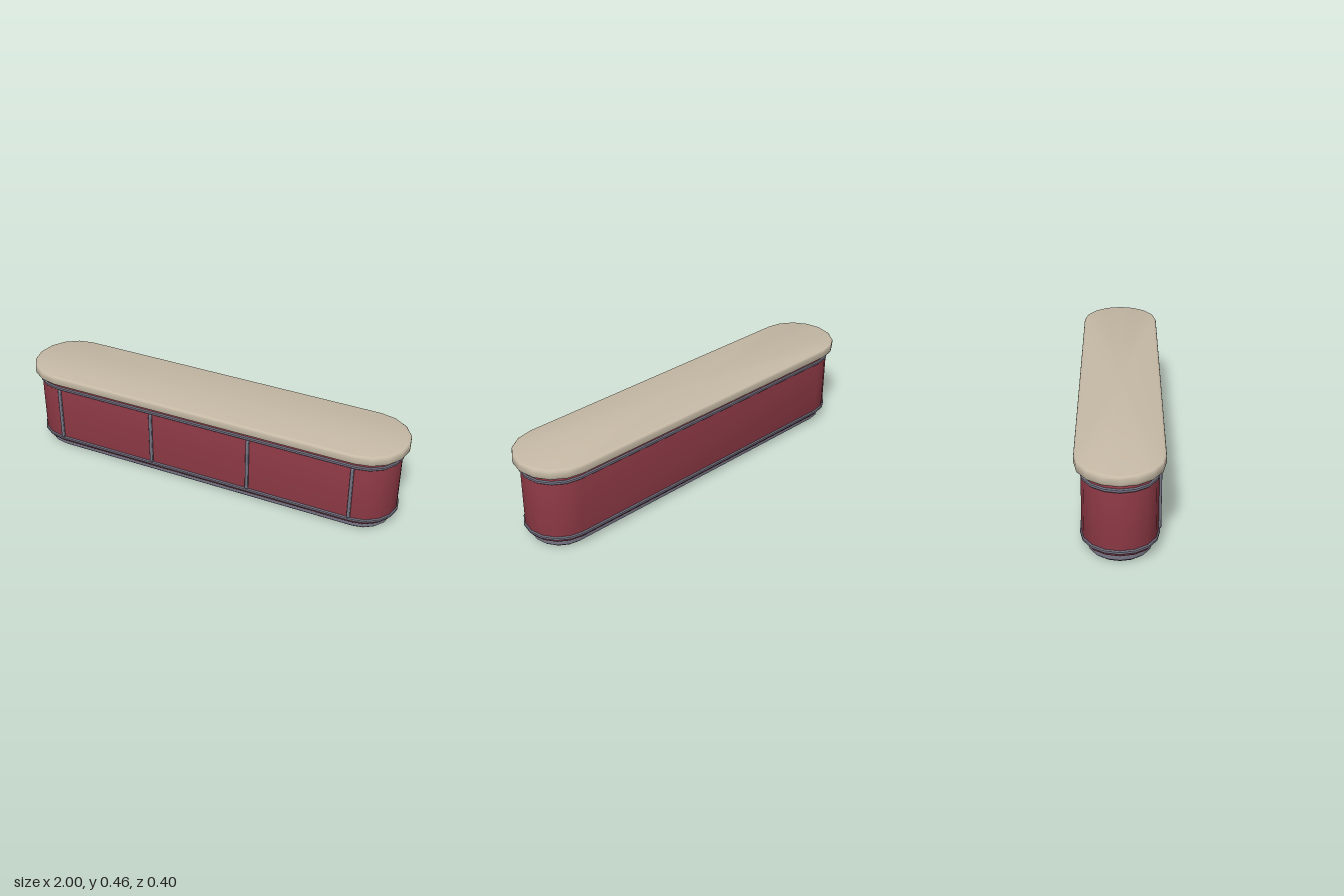
import * as THREE from 'three';
import { toCreasedNormals } from 'three/addons/utils/BufferGeometryUtils.js';
import { RoundedBoxGeometry } from 'three/addons/geometries/RoundedBoxGeometry.js';

const HALF_STRAIGHT = 0.8; // distance from the middle to the centre of each round end
const END_SEGMENTS = 8;

// Solid with a long, round-ended plan; profile lists [radius, y] from bottom to top
function roundEnded(profile, capped = true) {
  const points = [];
  const index = [];
  const n = 2 * (END_SEGMENTS + 1);
  for (const [r, y] of profile) {
    for (const side of [1, -1]) {
      for (let k = 0; k <= END_SEGMENTS; k++) {
        const a = (k / END_SEGMENTS) * Math.PI;
        points.push(side * (HALF_STRAIGHT + r * Math.sin(a)), y, side * r * Math.cos(a));
      }
    }
  }
  for (let i = 0; i < profile.length - 1; i++) {
    for (let j = 0; j < n; j++) {
      const a = i * n + j;
      const b = i * n + ((j + 1) % n);
      index.push(a, b, b + n, a, b + n, a + n);
    }
  }
  if (capped) {
    const last = (profile.length - 1) * n;
    const centre = points.length / 3;
    points.push(0, profile[0][1], 0, 0, profile[profile.length - 1][1], 0);
    for (let j = 0; j < n; j++) {
      const k = (j + 1) % n;
      index.push(centre, k, j, centre + 1, last + j, last + k);
    }
  }
  const geometry = new THREE.BufferGeometry();
  geometry.setAttribute('position', new THREE.Float32BufferAttribute(points, 3));
  geometry.setIndex(index);
  return toCreasedNormals(geometry, 0.7);
}

// Profile of a slab with rounded rims
function slab(radius, y0, y1, bevelOut, bevelUp, steps = 3) {
  const lower = [];
  const upper = [];
  for (let i = 0; i <= steps; i++) {
    const a = (i / steps) * Math.PI / 2;
    const r = radius - bevelOut * (1 - Math.sin(a));
    const d = bevelUp * (1 - Math.cos(a));
    lower.push([r, y0 + d]);
    upper.unshift([r, y1 - d]);
  }
  return [...lower, ...upper];
}

export function createModel() {
  const group = new THREE.Group();
  const red = new THREE.MeshStandardMaterial({ name: 'redPanel', color: 0x8f3a46 });
  const stone = new THREE.MeshStandardMaterial({ name: 'paleStone', color: 0xc6baa6 });
  const metal = new THREE.MeshStandardMaterial({ name: 'greyMetal', color: 0x747282 });

  const add = (name, geometry, material) => {
    const mesh = new THREE.Mesh(geometry, material);
    mesh.name = name;
    group.add(mesh);
    return mesh;
  };

  // Plinth, body and countertop
  add('plinth', roundEnded([[0.13, 0], [0.143, 0.012], [0.143, 0.036], [0.137, 0.043]]), metal);
  add('body', roundEnded(slab(0.17, 0.042, 0.406, 0.018, 0.024)), red);
  add('countertop', roundEnded(slab(0.2, 0.405, 0.455, 0.014, 0.012)), stone);

  // Trim bands around the body
  for (const [name, y] of [['lowerTrim', 0.069], ['upperTrim', 0.373]]) {
    const band = [[0.16, y - 0.01], [0.171, y - 0.01], [0.176, y - 0.005],
      [0.176, y + 0.005], [0.171, y + 0.01], [0.16, y + 0.01]];
    add(name, roundEnded(band, false), metal);
  }

  // Upright strips dividing the front
  for (const x of [-0.787, -0.2625, 0.2625, 0.787]) {
    const strip = add('frontStrip', new RoundedBoxGeometry(0.016, 0.282, 0.022, 2, 0.005), metal);
    strip.position.set(x, 0.221, 0.171);
  }
  return group;
}
